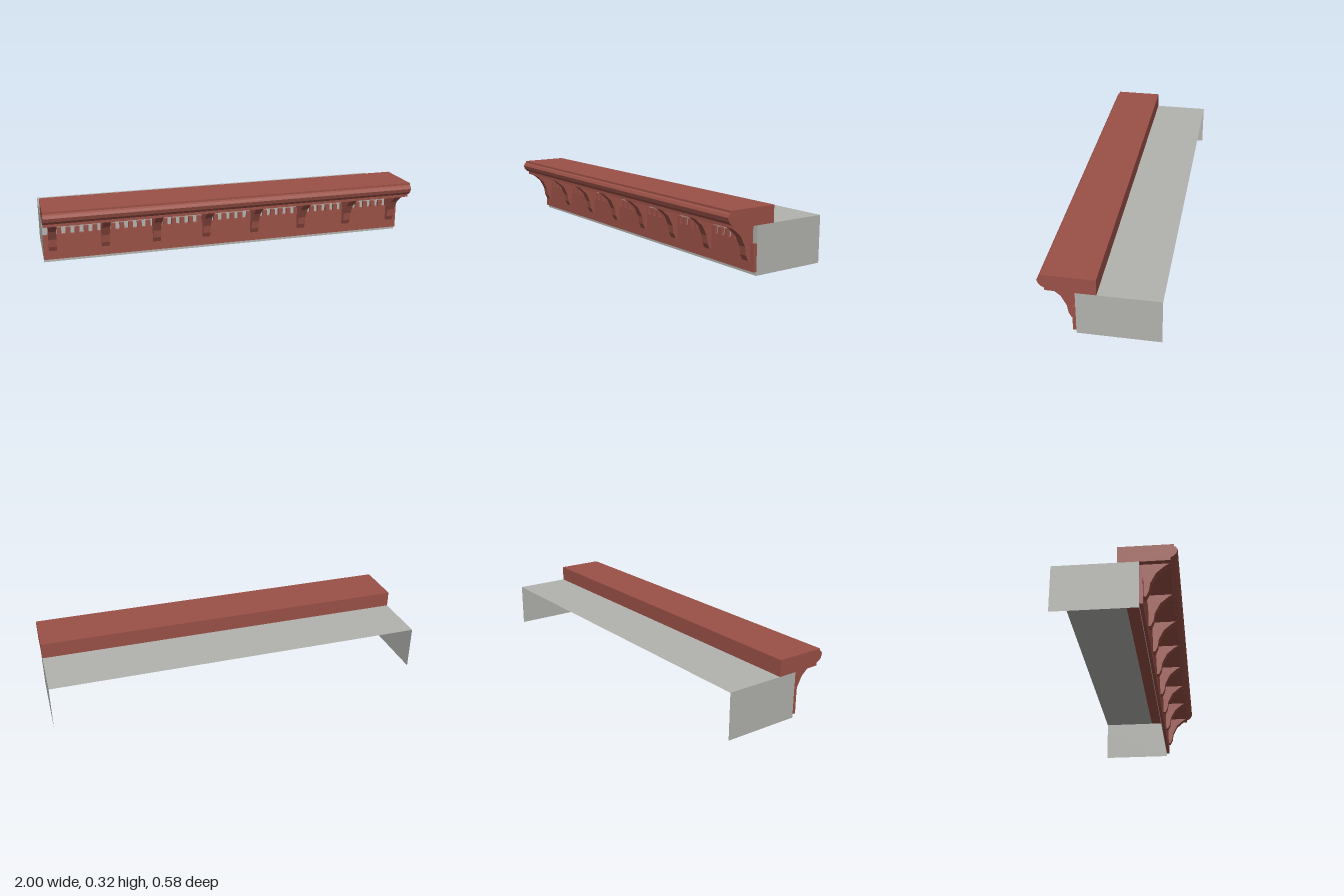
import * as THREE from 'three';

export function createModel() {
  const group = new THREE.Group();
  const brick = new THREE.MeshStandardMaterial({ color: 0x9a5147 });
  brick.name = 'brick red';
  const stone = new THREE.MeshStandardMaterial({ color: 0xb2b2ae, side: THREE.DoubleSide });
  stone.name = 'pale grey';

  const add = (name, geometry, material, x = 0, y = 0, z = 0) => {
    const mesh = new THREE.Mesh(geometry, material);
    mesh.name = name;
    mesh.position.set(x, y, z);
    group.add(mesh);
    return mesh;
  };

  // Side profile given as [z, y] points, swept along x and centred
  const sweep = (points, width) => {
    const shape = new THREE.Shape(points.map(([z, y]) => new THREE.Vector2(z, y)));
    return new THREE.ExtrudeGeometry(shape, { depth: width, bevelEnabled: false })
      .rotateY(-Math.PI / 2)
      .translate(width / 2, 0, 0);
  };

  const back = -0.288, front = 0.114, roofY = 0.235;
  const depth = front - back, midZ = (front + back) / 2;
  const inset = front - 0.0006; // trim shows just through the wall sheet

  // Open shell: roof, front wall and two ends, with no back or floor
  add('roof', new THREE.PlaneGeometry(2, depth).rotateX(-Math.PI / 2), stone, 0, roofY, midZ);
  add('frontWall', new THREE.PlaneGeometry(2, roofY), stone, 0, roofY / 2, front);
  for (const side of [-1, 1]) {
    add(side > 0 ? 'leftEndWall' : 'rightEndWall',
      new THREE.PlaneGeometry(depth, roofY).rotateY(side * Math.PI / 2), stone, side, roofY / 2, midZ);
  }

  // Moulded cornice
  add('cornice', sweep([
    [0.014, 0.2344], [0.254, 0.2344], [0.254, 0.249], [0.269, 0.256], [0.281, 0.268],
    [0.288, 0.288], [0.281, 0.302], [0.271, 0.308], [0.271, 0.318], [0.014, 0.318],
  ], 2), brick);

  // Flat frieze band
  const bandDepth = 0.13 - inset;
  add('friezeBand', new THREE.BoxGeometry(2, 0.132, bandDepth), brick, 0, 0.084, inset + bandDepth / 2);

  // Curved brackets below the cornice
  const bracket = sweep([
    [inset, 0.068], [0.141, 0.068], [0.154, 0.094], [0.161, 0.136], [0.187, 0.187],
    [0.225, 0.22], [0.25, 0.2348], [inset, 0.2348],
  ], 0.04);
  for (let i = 0; i < 8; i++) add('bracket', bracket, brick, -0.953 + i * 0.2723);

  // Row of dentils above the band
  const dentil = new THREE.BoxGeometry(0.024, 0.036, bandDepth);
  for (let i = 0; i < 41; i++) {
    add('dentil', dentil, brick, -0.916 + i * 0.0465, 0.167, inset + bandDepth / 2);
  }

  return group;
}
